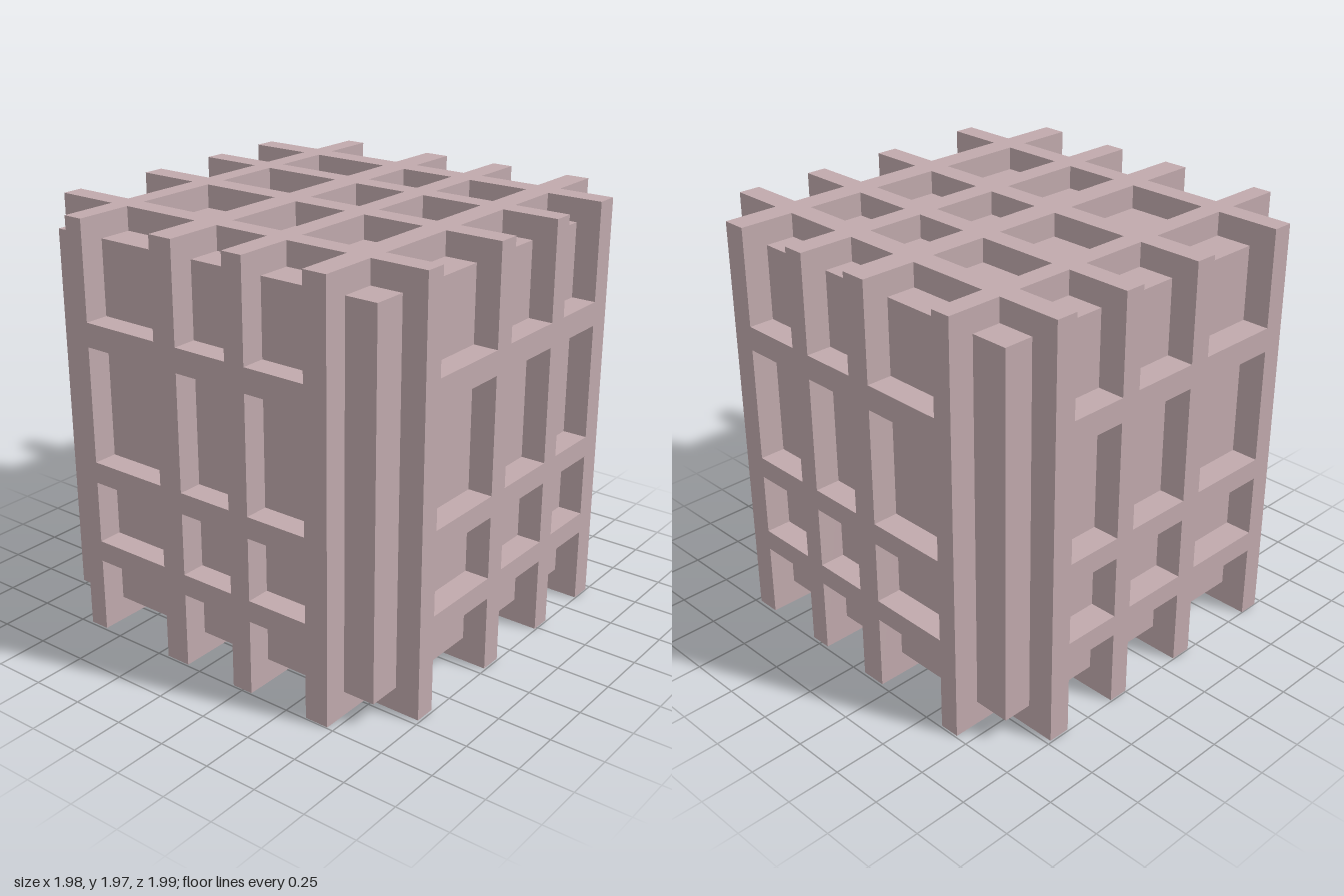
import * as THREE from 'three';

export function createModel() {
  const model = new THREE.Group();
  model.name = 'latticeCube';
  const material = new THREE.MeshStandardMaterial({ color: 0xc0a9ac, flatShading: true });

  // Box from its low and high limits on each axis
  function block(name, [x0, x1], [y0, y1], [z0, z1], parent) {
    const mesh = new THREE.Mesh(new THREE.BoxGeometry(x1 - x0, y1 - y0, z1 - z0), material);
    mesh.position.set((x0 + x1) / 2, (y0 + y1) / 2, (z0 + z1) / 2);
    mesh.name = name;
    parent.add(mesh);
  }
  function group(name) {
    const g = new THREE.Group();
    g.name = name;
    model.add(g);
    return g;
  }
  // Spaces between neighbouring slats
  const gaps = (slats) => slats.slice(1).map((s, i) => [slats[i][1], s[0]]);

  const spanX = [-0.99, 0.987], spanY = [0, 1.97], spanZ = [-0.995, 0.992];
  const coreX = [-0.875, 0.865], coreY = [0.115, 1.86], coreZ = [-0.865, 0.875];
  const slatsX = [[-0.715, -0.615], [-0.2, -0.095], [0.238, 0.337], [0.617, 0.723]];
  const slatsZ = [[-0.69, -0.595], [-0.195, -0.073], [0.2, 0.303], [0.607, 0.722]];
  const rungsY = [[0.355, 0.455], [0.75, 0.85], [1.397, 1.51]];

  // Solid core, showing through the lattice
  block('core', coreX, coreY, coreZ, model);

  // Upright slabs running front to back
  const slabs = group('frontToBackSlabs');
  for (const x of slatsX) block('slab', x, spanY, spanZ, slabs);

  // Upright slabs running side to side, fitted between the others
  const crossSlabs = group('sideToSideSlabs');
  const gapsX = gaps(slatsX), gapsZ = gaps(slatsZ);
  const reachX = [[spanX[0], slatsX[0][0]], ...gapsX, [slatsX[3][1], spanX[1]]];
  for (const z of slatsZ) for (const x of reachX) block('slabSection', x, spanY, z, crossSlabs);

  // Level rungs between the uprights on the four sides
  const rungs = group('rungs');
  for (const y of rungsY) {
    for (const x of gapsX) {
      block('frontRung', x, y, [coreZ[1], spanZ[1]], rungs);
      block('backRung', x, y, [spanZ[0], coreZ[0]], rungs);
    }
    for (const z of gapsZ) {
      block('leftRung', [coreX[1], spanX[1]], y, z, rungs);
      block('rightRung', [spanX[0], coreX[0]], y, z, rungs);
    }
  }

  // Very slight turn about the upright axis
  model.rotation.y = -0.005;
  const root = new THREE.Group();
  root.name = 'model';
  root.add(model);
  return root;
}
